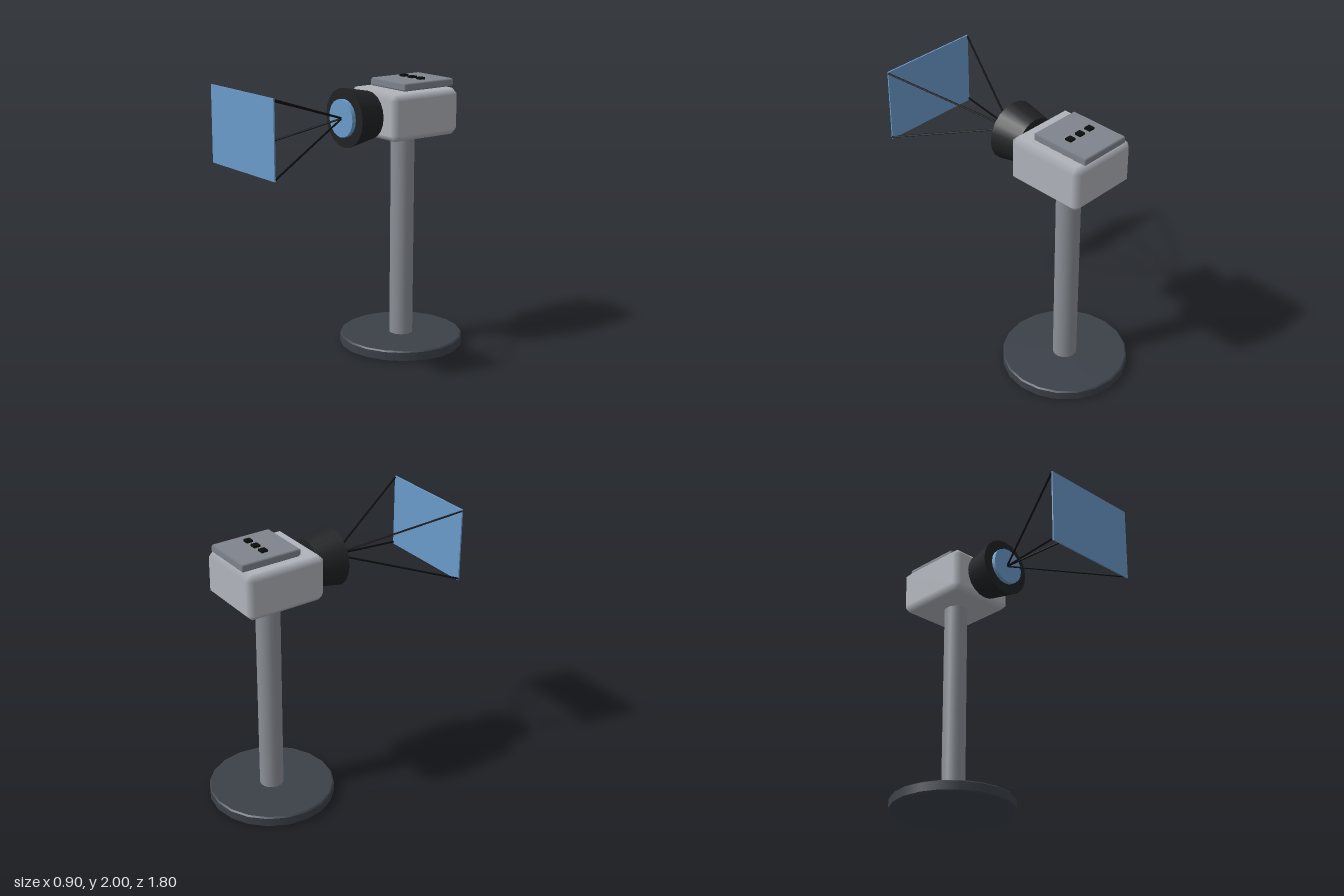
import * as THREE from 'three';
import { ConvexGeometry } from 'three/addons/geometries/ConvexGeometry.js';

const AXIS_Z = -0.45;   // column and base centre
const LENS_Y = 1.735;   // optical axis height

const paint = (color) => new THREE.MeshStandardMaterial({ color });
const black = paint(0x0c0c0e), hoodBlack = paint(0x202225), blue = paint(0x6a9bcb);
const baseGrey = paint(0x3c4149), columnGrey = paint(0x8b8f96);
const bodyGrey = paint(0xb0b4bb), plateGrey = paint(0x7e848d);

// Box with cut edges: flat faces, softly shaded chamfers
function chamferBox(w, h, d, c) {
  const half = [w / 2, h / 2, d / 2], points = [];
  for (let axis = 0; axis < 3; axis++)
    for (const sx of [-1, 1]) for (const sy of [-1, 1]) for (const sz of [-1, 1])
      points.push(new THREE.Vector3(...[sx, sy, sz].map((s, i) => s * (half[i] - (i === axis ? 0 : c)))));
  const geometry = new ConvexGeometry(points);
  const pos = geometry.attributes.position, normal = geometry.attributes.normal;
  // each corner takes the normal of the one flat face it touches
  for (let i = 0; i < pos.count; i++) {
    const p = [pos.getX(i), pos.getY(i), pos.getZ(i)];
    const n = p.map((v, k) => (Math.abs(Math.abs(v) - half[k]) < 1e-5 ? Math.sign(v) : 0));
    normal.setXYZ(i, ...n);
  }
  return geometry;
}

export function createModel() {
  const model = new THREE.Group();
  const add = (name, geometry, material, x, y, z) => {
    const mesh = new THREE.Mesh(geometry, material);
    mesh.name = name;
    mesh.position.set(x, y, z);
    model.add(mesh);
    return mesh;
  };

  // Base disc with narrow bevels, built from stacked rings
  const base = new THREE.Group();
  base.name = 'base';
  base.position.z = AXIS_Z;
  for (const [bottom, top, y0, y1] of [[0.44, 0.45, 0, 0.01], [0.45, 0.45, 0.01, 0.07], [0.45, 0.44, 0.07, 0.08]]) {
    const ring = new THREE.Mesh(new THREE.CylinderGeometry(top, bottom, y1 - y0, 20), baseGrey);
    ring.position.y = (y0 + y1) / 2;
    base.add(ring);
  }
  model.add(base);

  // Column
  add('column', new THREE.CylinderGeometry(0.085, 0.085, 1.52, 20), columnGrey, 0, 0.83, AXIS_Z);

  // Camera body and top plate
  add('body', chamferBox(0.54, 0.33, 0.6, 0.044), bodyGrey, 0, LENS_Y, -0.455);
  add('topPlate', chamferBox(0.39, 0.056, 0.45, 0.012), plateGrey, 0, 1.932, -0.53);
  for (const x of [-0.09, 0, 0.09])
    add('button', new THREE.BoxGeometry(0.046, 0.03, 0.046), black, x, 1.96, -0.532);

  // Lens hood flaring forward, with the lens in front
  const hood = new THREE.CylinderGeometry(0.209, 0.168, 0.212, 20).rotateX(Math.PI / 2);
  add('lensHood', hood, hoodBlack, 0, LENS_Y, -0.036);
  const lens = new THREE.CylinderGeometry(0.133, 0.133, 0.06, 20).rotateX(Math.PI / 2);
  add('lens', lens, blue, 0, LENS_Y, 0.07);

  // Image panel and the four rays reaching its corners
  add('imagePanel', new THREE.BoxGeometry(0.75, 0.534, 0.01), blue, 0, 1.733, 0.895);
  const apex = new THREE.Vector3(0, LENS_Y, 0.09);
  for (const sx of [-1, 1]) for (const sy of [-1, 1]) {
    const corner = new THREE.Vector3(sx * 0.374, LENS_Y + sy * 0.256, 0.893);
    const path = new THREE.LineCurve3(apex, corner);
    add('ray', new THREE.TubeGeometry(path, 1, 0.007, 6), black, 0, 0, 0);
  }

  return model;
}
